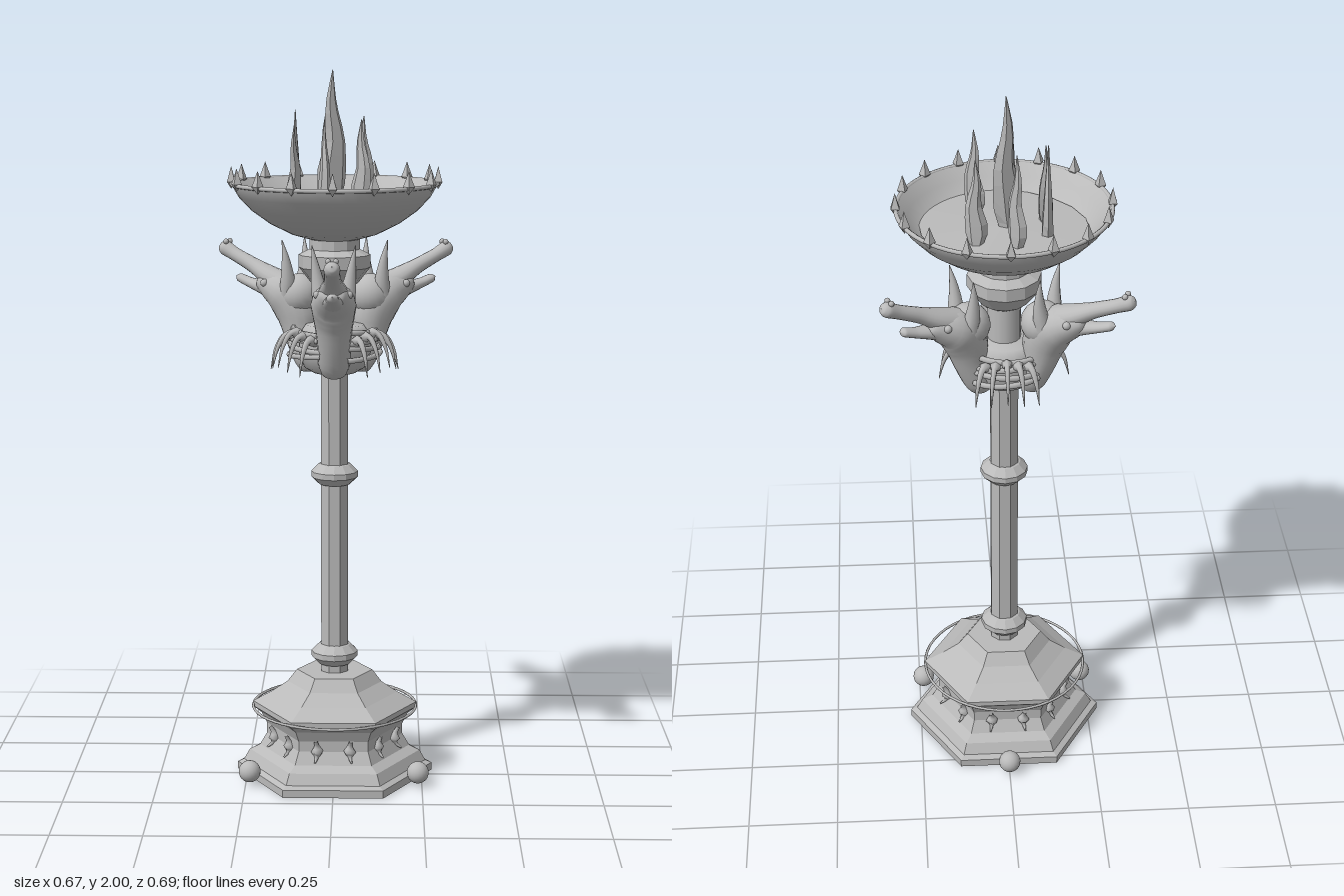
import * as THREE from 'three';
import { mergeVertices } from 'three/addons/utils/BufferGeometryUtils.js';

const stone = new THREE.MeshStandardMaterial({ color: 0xbababa });
stone.name = 'grey stone';

function add(parent, name, geometry, x = 0, y = 0, z = 0) {
  const mesh = new THREE.Mesh(geometry, stone);
  mesh.name = name;
  mesh.position.set(x, y, z);
  parent.add(mesh);
  return mesh;
}

function faceted(geometry) {
  const g = geometry.index ? geometry.toNonIndexed() : geometry;
  g.computeVertexNormals();
  return g;
}

// Turned profile of [radius, y] pairs; hexagons get a corner on the x axis
function turned(profile, sides) {
  const points = profile.map(([r, y]) => new THREE.Vector2(r, y));
  return new THREE.LatheGeometry(points, sides).rotateY(Math.PI / 6);
}

// Elliptical sections [z, y, halfWidth, halfDepth] swept along a path in the yz plane
function loft(sections, sides = 16, steps = 28) {
  const path = new THREE.CatmullRomCurve3(sections.map(([z, y]) => new THREE.Vector3(0, y, z)));
  const radii = new THREE.CatmullRomCurve3(sections.map(([, , a, b]) => new THREE.Vector3(a, b, 0)));
  const points = [];
  for (let i = 0; i <= steps; i++) points.push(new THREE.Vector2(1, i / steps));
  const g = new THREE.LatheGeometry(points, sides);
  const pos = g.attributes.position;
  for (let i = 0; i < pos.count; i++) {
    const t = Math.min(1, pos.getY(i));
    const p = path.getPoint(t), d = path.getTangent(t), r = radii.getPoint(t);
    const k = Math.max(0.0005, r.y) * pos.getZ(i);
    pos.setXYZ(i, Math.max(0.0005, r.x) * pos.getX(i), p.y - d.z * k, p.z + d.y * k);
  }
  g.deleteAttribute('uv');
  g.deleteAttribute('normal');
  const merged = mergeVertices(g, 1e-6);
  merged.computeVertexNormals();
  return merged;
}

function makeBase(root) {
  add(root, 'hexagonalBase', faceted(turned([
    [0, 0], [0.28, 0], [0.28, 0.022], [0.262, 0.03], [0.245, 0.06], [0.215, 0.075], [0.195, 0.11],
    [0.195, 0.14], [0.21, 0.17], [0.235, 0.19], [0.235, 0.205], [0.18, 0.235], [0.135, 0.265],
    [0.108, 0.3], [0, 0.3]], 6)));
  add(root, 'baseRing', new THREE.TorusGeometry(0.234, 0.004, 6, 48).rotateX(Math.PI / 2), 0, 0.196);
  // Ball feet in the middle of every other side
  for (let i = 0; i < 3; i++) {
    const a = Math.PI + i * Math.PI * 2 / 3;
    add(root, 'ballFoot', new THREE.SphereGeometry(0.031, 20, 14),
      Math.sin(a) * 0.275, 0.04, Math.cos(a) * 0.275);
  }
  // Small hooks round the waist
  const hook = loft([[0.19, 0.145, 0.005, 0.005], [0.18, 0.125, 0.007, 0.007],
    [0.178, 0.1, 0.007, 0.007], [0.2, 0.083, 0.002, 0.002]], 6, 8);
  for (let i = 0; i < 12; i++) add(root, 'waistHook', hook).rotation.y = (i + 0.5) * Math.PI / 6;
}

function makeColumn(root) {
  add(root, 'column', faceted(new THREE.CylinderGeometry(0.041, 0.041, 1.22, 8).rotateY(Math.PI / 8)), 0, 0.9);
  add(root, 'upperColumn', new THREE.CylinderGeometry(0.045, 0.045, 0.35, 16), 0, 1.36);
  for (const y of [0.35, 0.875]) {
    add(root, 'columnCollar', faceted(turned([[0.04, y - 0.03], [0.046, y - 0.028], [0.066, y - 0.008],
      [0.066, y + 0.008], [0.046, y + 0.028], [0.04, y + 0.03]], 12)));
  }
  add(root, 'hub', turned([[0, 1.165], [0.06, 1.165], [0.085, 1.18], [0.1, 1.22], [0.1, 1.27],
    [0.08, 1.3], [0, 1.31]], 24));
  add(root, 'capital', faceted(turned([[0.04, 1.4], [0.065, 1.415], [0.1, 1.46], [0.1, 1.495],
    [0.07, 1.51], [0.07, 1.545], [0, 1.545]], 12)));
}

function makeHead() {
  const head = new THREE.Group();
  head.name = 'dragonHead';
  add(head, 'neckAndSkull', loft([
    [0.07, 1.16, 0.001, 0.001], [0.072, 1.168, 0.03, 0.03], [0.085, 1.2, 0.044, 0.042],
    [0.11, 1.27, 0.047, 0.05], [0.125, 1.33, 0.056, 0.062], [0.155, 1.372, 0.062, 0.06],
    [0.2, 1.395, 0.05, 0.045], [0.24, 1.41, 0.03, 0.022], [0.245, 1.412, 0.001, 0.001]]));
  add(head, 'skullBack', new THREE.SphereGeometry(0.06, 20, 14), 0, 1.375, 0.115);
  add(head, 'upperJaw', loft([
    [0.16, 1.395, 0.045, 0.04], [0.21, 1.42, 0.038, 0.03], [0.27, 1.45, 0.024, 0.021],
    [0.33, 1.477, 0.021, 0.019], [0.362, 1.493, 0.022, 0.021], [0.376, 1.5, 0.014, 0.014],
    [0.38, 1.502, 0.001, 0.001]]));
  add(head, 'lowerJaw', loft([
    [0.16, 1.365, 0.04, 0.03], [0.22, 1.385, 0.03, 0.022], [0.28, 1.4, 0.019, 0.014],
    [0.315, 1.412, 0.015, 0.012], [0.327, 1.416, 0.001, 0.001]]));
  const horn = loft([[0.135, 1.385, 0.024, 0.024], [0.128, 1.43, 0.021, 0.021],
    [0.128, 1.49, 0.012, 0.012], [0.135, 1.55, 0.001, 0.001]], 10, 12);
  for (const s of [-1, 1]) {
    const h = add(head, 'horn', horn, s * 0.035);
    h.rotation.z = -s * 0.15;
    h.position.x -= s * 0.15 * 1.385;
    add(head, 'eye', new THREE.SphereGeometry(0.011, 12, 8), s * 0.043, 1.407, 0.205);
    add(head, 'nostril', new THREE.SphereGeometry(0.008, 10, 8), s * 0.01, 1.513, 0.355);
  }
  return head;
}

// Ribbed bands and down-curved claws that fill the space between two necks
function makeClawCluster() {
  const cluster = new THREE.Group();
  cluster.name = 'clawCluster';
  for (let i = 0; i < 4; i++) {
    const band = new THREE.TorusGeometry(0.115 + i * 0.004, 0.008, 6, 14, 1.5)
      .rotateX(Math.PI / 2).rotateY(-Math.PI / 2 + 0.75);
    add(cluster, 'ribbedBand', band, 0, 1.285 - i * 0.022).rotation.z = (i % 2 ? 1 : -1) * 0.06;
  }
  const claw = loft([[0.09, 1.27, 0.009, 0.009], [0.135, 1.285, 0.009, 0.009],
    [0.162, 1.25, 0.006, 0.006], [0.178, 1.19, 0.001, 0.001]], 6, 12);
  for (let i = -2; i <= 2; i++) {
    const c = add(cluster, 'claw', claw, 0, -Math.abs(i) * 0.008);
    c.rotation.y = i * 0.25;
  }
  return cluster;
}

function makeBowl(root) {
  add(root, 'bowl', turned([[0, 1.53], [0.06, 1.535], [0.12, 1.552], [0.18, 1.582], [0.23, 1.618],
    [0.265, 1.655], [0.285, 1.69], [0.277, 1.692], [0.255, 1.66], [0.22, 1.628], [0.17, 1.595],
    [0.1, 1.565], [0, 1.555]], 48));
  add(root, 'bowlRim', new THREE.TorusGeometry(0.284, 0.006, 8, 64).rotateX(Math.PI / 2), 0, 1.69);
  for (let i = 0; i < 16; i++) {
    const a = i * Math.PI / 8;
    const spike = faceted(turned([[0, 1.675], [0.016, 1.695], [0.01, 1.71], [0, 1.738]], 4)
      .rotateY(Math.PI / 12));
    add(root, 'rimSpike', spike, Math.sin(a) * 0.285, 0, Math.cos(a) * 0.285).rotation.y = a;
  }
  // Jagged bed of embers
  const bed = new THREE.CylinderGeometry(0.225, 0.18, 0.04, 18, 1);
  const pos = bed.attributes.position;
  for (let i = 0; i < pos.count; i++) {
    const x = pos.getX(i), z = pos.getZ(i);
    const k = 1 + 0.06 * Math.cos(9 * Math.atan2(z, x)) + 0.04 * Math.sin(2 * Math.atan2(z, x));
    pos.setX(i, x * k);
    pos.setZ(i, z * k);
    if (Math.hypot(x, z) < 0.01 && pos.getY(i) > 0) pos.setY(i, 0.028);
  }
  add(root, 'emberBed', faceted(bed), 0, 1.612);
}

// Flames: x, z, turn, tip height, half length, half thickness
function makeFlames(root) {
  const flames = [
    [-0.005, 0.003, 0.55, 2, 0.046, 0.024], [-0.025, -0.117, -0.55, 1.89, 0.028, 0.016],
    [0.08, -0.095, -0.1, 1.87, 0.03, 0.016], [-0.11, -0.058, 1.55, 1.89, 0.03, 0.015],
    [-0.11, 0.028, 0.85, 1.85, 0.029, 0.015], [0.075, 0.093, -0.45, 1.87, 0.03, 0.016],
    [-0.025, 0.123, -1.25, 1.87, 0.03, 0.016]];
  for (const [x, z, turn, top, a, b] of flames) {
    const h = top - 1.61;
    const shape = loft([[0, 0, a * 0.6, b * 0.6], [-b * 0.2, h * 0.25, b, a],
      [b * 0.3, h * 0.5, b * 0.75, a * 0.7], [-b * 0.2, h * 0.75, b * 0.4, a * 0.4],
      [0, h, 0.001, 0.001]], 6, 10);
    add(root, 'flame', faceted(shape), x, 1.61, z).rotation.y = turn + Math.PI / 2;
  }
}

export function createModel() {
  const model = new THREE.Group();
  model.name = 'dragonBrazier';
  const root = new THREE.Group();
  root.name = 'brazier';
  root.position.z = -0.038;
  model.add(root);
  makeBase(root);
  makeColumn(root);
  for (let i = 0; i < 3; i++) {
    const head = makeHead(), claws = makeClawCluster();
    head.rotation.y = i * Math.PI * 2 / 3;
    claws.rotation.y = head.rotation.y + Math.PI / 3;
    root.add(head, claws);
  }
  makeBowl(root);
  makeFlames(root);
  return model;
}
